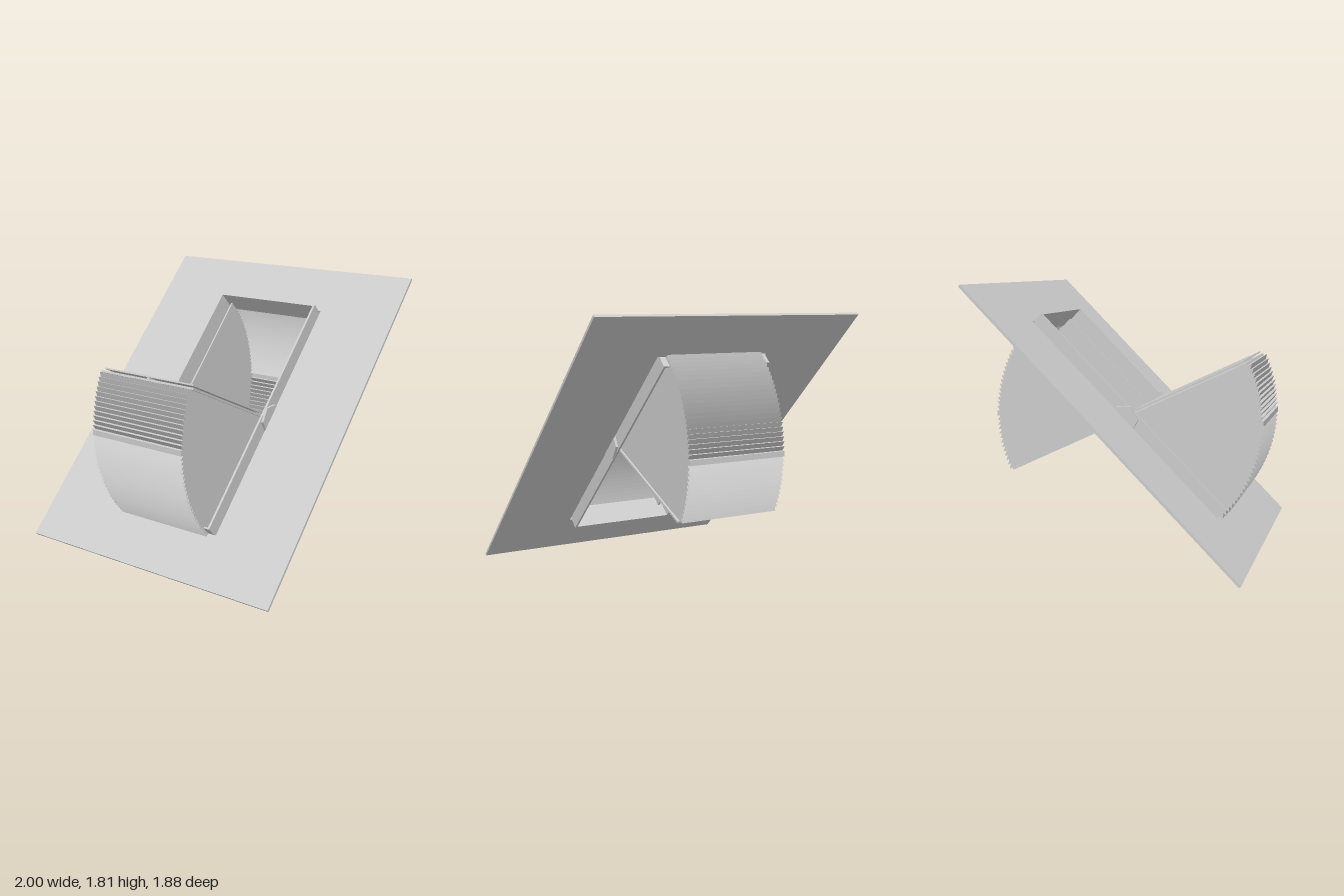
import * as THREE from 'three';

const CENTRE_Y = 0.908;
const DEG = Math.PI / 180;
const material = new THREE.MeshStandardMaterial({ color: 0xcccccc, flatShading: true });

function add(parent, name, geometry, x = 0, y = 0, z = 0) {
  const mesh = new THREE.Mesh(geometry, material);
  mesh.name = name;
  mesh.position.set(x, y, z);
  parent.add(mesh);
  return mesh;
}

const box = (w, h, d) => new THREE.BoxGeometry(w, h, d);

// extrude a side profile (z, y) across the width, centred on x = 0
function acrossX(points, width) {
  const shape = new THREE.Shape(points);
  const geometry = new THREE.ExtrudeGeometry(shape, { depth: width, bevelEnabled: false });
  return geometry.translate(0, 0, -width / 2).rotateY(-Math.PI / 2);
}

const polar = (r, deg) => new THREE.Vector2(r * Math.cos(deg * DEG), r * Math.sin(deg * DEG));

// sawtooth arc: barbs lean away from a flat band at mid height
function toothedArc(low, tip) {
  const pts = [];
  for (let i = 22; i >= 1; i--) {
    const a = -1.2 - i * 1.95;
    pts.push(polar(low, a), polar(tip, a + 0.15));
  }
  pts.push(polar(low, -1.2), polar(tip, -1.1), polar(tip, 1.1), polar(low, 1.2));
  for (let i = 1; i <= 12; i++) {
    const a = 1.2 + i * 1.98;
    pts.push(polar(tip, a - 0.15), polar(low, a));
  }
  return pts;
}

// open drum quarter: ribbed curved wall and two side cheeks
function makeDrum(name) {
  const drum = new THREE.Group();
  drum.name = name;
  const outer = toothedArc(0.915, 0.938);
  const inner = toothedArc(0.903, 0.926).reverse();
  add(drum, 'ribbedWall', acrossX([...outer, ...inner], 0.72));

  const cheek = [new THREE.Vector2(0.02, 0.01), ...toothedArc(0.914, 0.937)];
  for (const side of [-1, 1]) {
    add(drum, 'sideCheek', acrossX(cheek, 0.012), side * 0.361);
  }
  return drum;
}

export function createModel() {
  const model = new THREE.Group();
  model.name = 'rotatingHatch';

  // tilted mounting panel and its opening
  const tilted = new THREE.Group();
  tilted.name = 'tiltedMount';
  tilted.position.y = CENTRE_Y;
  tilted.rotation.x = -45 * DEG;
  model.add(tilted);

  const sheet = new THREE.Shape();
  sheet.moveTo(-1, -1.274).lineTo(1, -1.274).lineTo(1, 1.274).lineTo(-1, 1.274).closePath();
  const opening = new THREE.Path();
  opening.moveTo(-0.425, -0.91).lineTo(-0.425, 0.91).lineTo(0.425, 0.91).lineTo(0.425, -0.91).closePath();
  sheet.holes.push(opening);
  const panel = new THREE.ExtrudeGeometry(sheet, { depth: 0.018, bevelEnabled: false });
  add(tilted, 'panel', panel.translate(0, 0, -0.009));

  // frame lining the opening
  for (const side of [-1, 1]) {
    add(tilted, 'frameSide', box(0.015, 1.818, 0.176), side * 0.402);
    add(tilted, 'frameEnd', box(0.82, 0.012, 0.176), 0, side * 0.903);
  }

  // hexagonal pivot bosses with short pins into the drum
  for (const side of [-1, 1]) {
    const hub = new THREE.CylinderGeometry(0.103, 0.103, 0.02, 6);
    hub.rotateY(Math.PI / 2).rotateZ(Math.PI / 2);
    hub.rotateX(hubFlatTurn(hub));
    add(model, 'pivotBoss', hub, side * 0.418, CENTRE_Y);
    const pin = new THREE.CylinderGeometry(0.02, 0.02, 0.06, 12).rotateZ(Math.PI / 2);
    add(model, 'pivotPin', pin, side * 0.385, CENTRE_Y);
  }

  // rotating drum, repeated half a turn about the pivot
  const front = makeDrum('frontDrum');
  const back = makeDrum('backDrum');
  back.rotation.x = Math.PI;
  front.position.y = back.position.y = CENTRE_Y;
  model.add(front, back);

  // dividing flap running through the pivot
  const flap = new THREE.Group();
  flap.name = 'flap';
  flap.position.y = CENTRE_Y;
  flap.rotation.x = -25.5 * DEG;
  add(flap, 'dividerPlate', box(0.76, 0.014, 1.82));
  add(flap, 'coverPlate', box(0.73, 0.01, 0.83), 0, 0.024, 0.485);
  add(flap, 'centreRib', box(0.018, 0.024, 1.78), 0, 0.019, 0);
  model.add(flap);

  return model;
}

// angle that puts two flats of the hexagon level at top and bottom
function hubFlatTurn(geometry) {
  geometry.computeBoundingBox();
  const { min, max } = geometry.boundingBox;
  return max.y - min.y > max.z - min.z ? Math.PI / 2 : 0;
}
